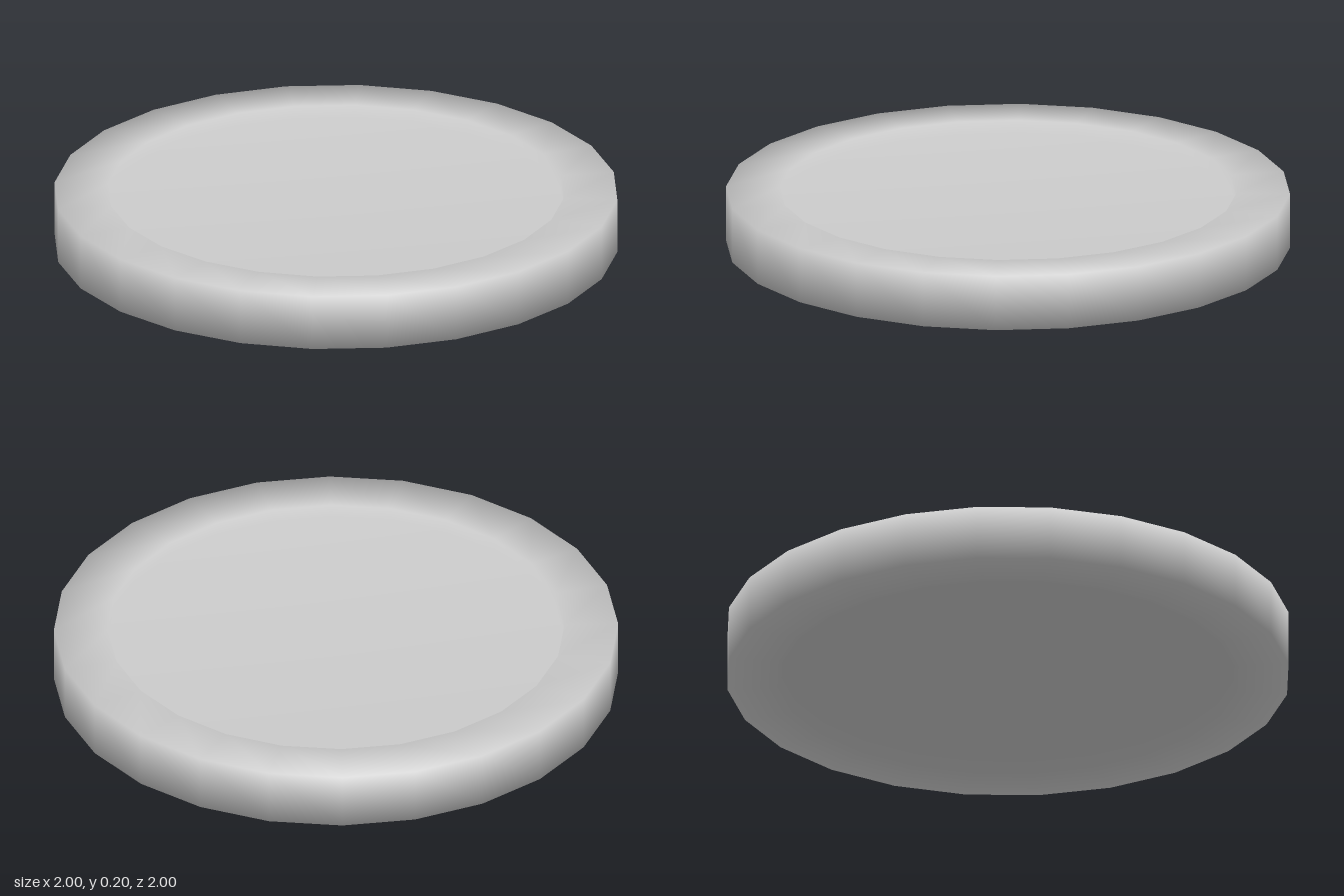
import * as THREE from 'three';

const SIDES = 24;
const RIM_RADIUS = 1;
const INNER_RADIUS = 0.81;
const HEIGHT = 0.2;
const RECESS = 0.05;

export function createModel() {
  const group = new THREE.Group();
  group.name = 'roundDisc';

  // Half section from the underside centre, round the square rim, to the top centre;
  // the lathe blends the normals over every corner.
  const profile = [
    [0, RECESS],
    [INNER_RADIUS, RECESS],
    [INNER_RADIUS, 0],
    [RIM_RADIUS, 0],
    [RIM_RADIUS, HEIGHT],
    [INNER_RADIUS, HEIGHT],
    [INNER_RADIUS, HEIGHT - RECESS],
    [0, HEIGHT - RECESS],
  ].map(([r, y]) => new THREE.Vector2(r, y));

  const disc = new THREE.Mesh(
    new THREE.LatheGeometry(profile, SIDES),
    new THREE.MeshStandardMaterial({ color: 0xcccccc })
  );
  disc.name = 'rimmedDisc';
  group.add(disc);

  return group;
}
